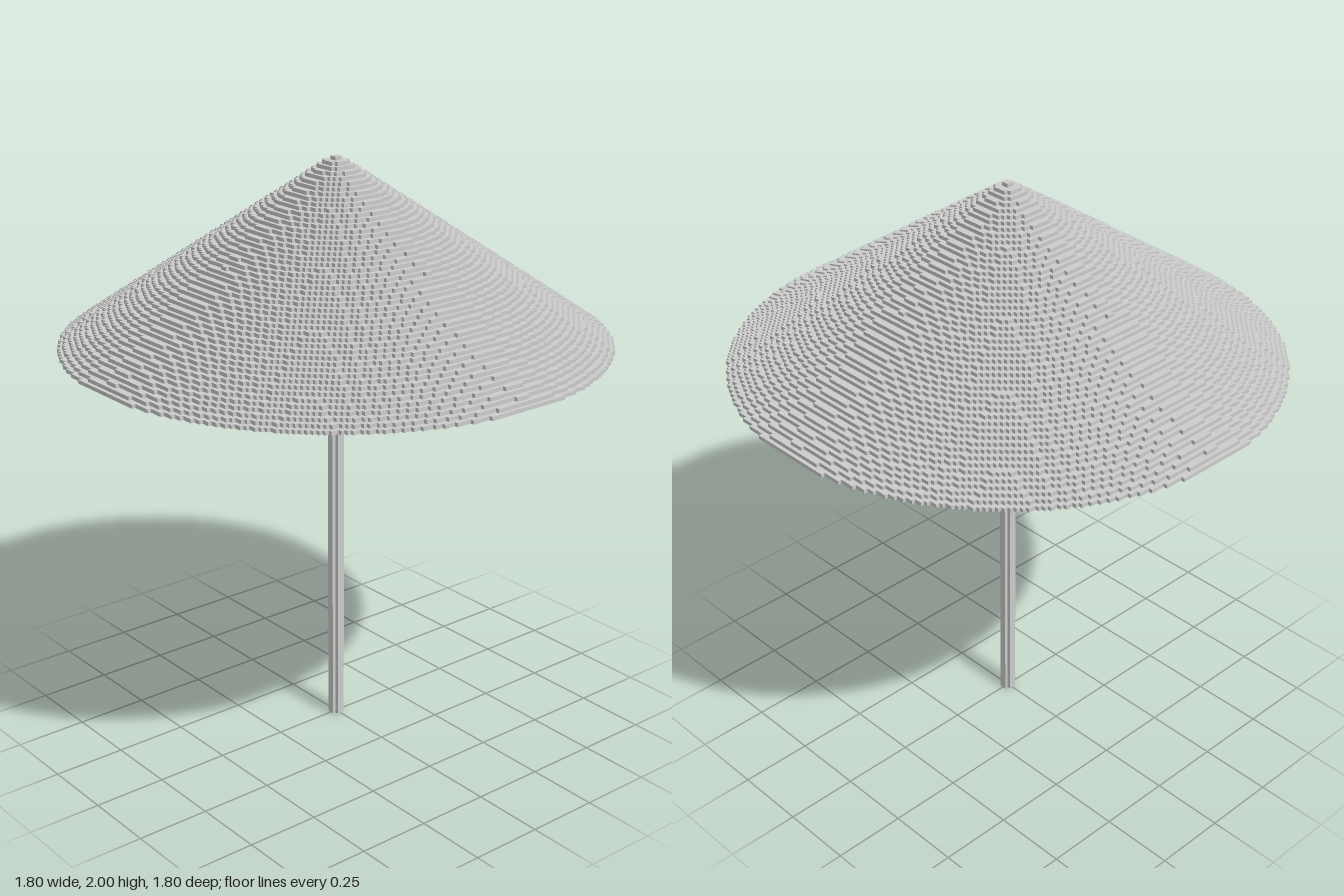
import * as THREE from 'three';

const CELL = 0.0125;         // edge of one block
const POLE_LAYERS = 111;     // blocks from the ground to the canopy
const CANOPY_LAYERS = 49;

// Splits -n..n into runs of equal value and reports each run.
function runs(n, valueAt, emit) {
  let start = -n;
  for (let i = -n; i <= n; i++) {
    if (i < n && valueAt(i) === valueAt(start)) continue;
    emit(start, i, valueAt(start));
    start = i;
  }
}

// Skin of a stack of blocks whose column heights depend on the distance from the axis.
function blockGeometry(n, heightAt) {
  const positions = [];
  const height = (i, j) => heightAt(Math.hypot(i + 0.5, j + 0.5));
  const quad = (a, b, c, d) => {
    for (const p of [a, b, c, a, c, d]) positions.push(...p.map((v) => v * CELL));
  };

  // Upper faces and underside, one strip per run along x
  for (let j = -n; j < n; j++) {
    runs(n, (i) => height(i, j), (s, e, h) => {
      if (h > 0) quad([s, h, j + 1], [e, h, j + 1], [e, h, j], [s, h, j]);
    });
    runs(n, (i) => height(i, j) > 0, (s, e, solid) => {
      if (solid) quad([s, 0, j], [e, 0, j], [e, 0, j + 1], [s, 0, j + 1]);
    });
  }

  // Upright faces across x, each repeated across z by swapping the two axes
  const swap = ([x, y, z]) => [z, y, x];
  for (let i = -n; i <= n; i++) {
    runs(n, (j) => height(i - 1, j) * 1000 + height(i, j), (s, e) => {
      const before = height(i - 1, s), after = height(i, s);
      if (before === after) return;
      const lo = Math.min(before, after), hi = Math.max(before, after);
      const face = [[i, lo, e], [i, lo, s], [i, hi, s], [i, hi, e]];
      if (after > before) face.reverse();
      quad(...face);
      quad(...face.map(swap).reverse());
    });
  }

  const geometry = new THREE.BufferGeometry();
  geometry.setAttribute('position', new THREE.Float32BufferAttribute(positions, 3));
  geometry.computeVertexNormals();
  return geometry;
}

export function createModel() {
  const group = new THREE.Group();
  group.name = 'parasol';
  const material = new THREE.MeshStandardMaterial({ color: 0xcccccc, flatShading: true });

  // Stepped conical canopy
  const radius = 72.5;
  const canopy = new THREE.Mesh(
    blockGeometry(73, (d) => (d > radius ? 0 : Math.floor(CANOPY_LAYERS * (1 - d / radius)) + 1)),
    material
  );
  canopy.name = 'canopy';
  canopy.position.y = POLE_LAYERS * CELL;
  group.add(canopy);

  // Slim pole, four blocks wide with the corners left out
  const pole = new THREE.Mesh(blockGeometry(3, (d) => (d > 2 ? 0 : POLE_LAYERS)), material);
  pole.name = 'pole';
  group.add(pole);

  return group;
}
